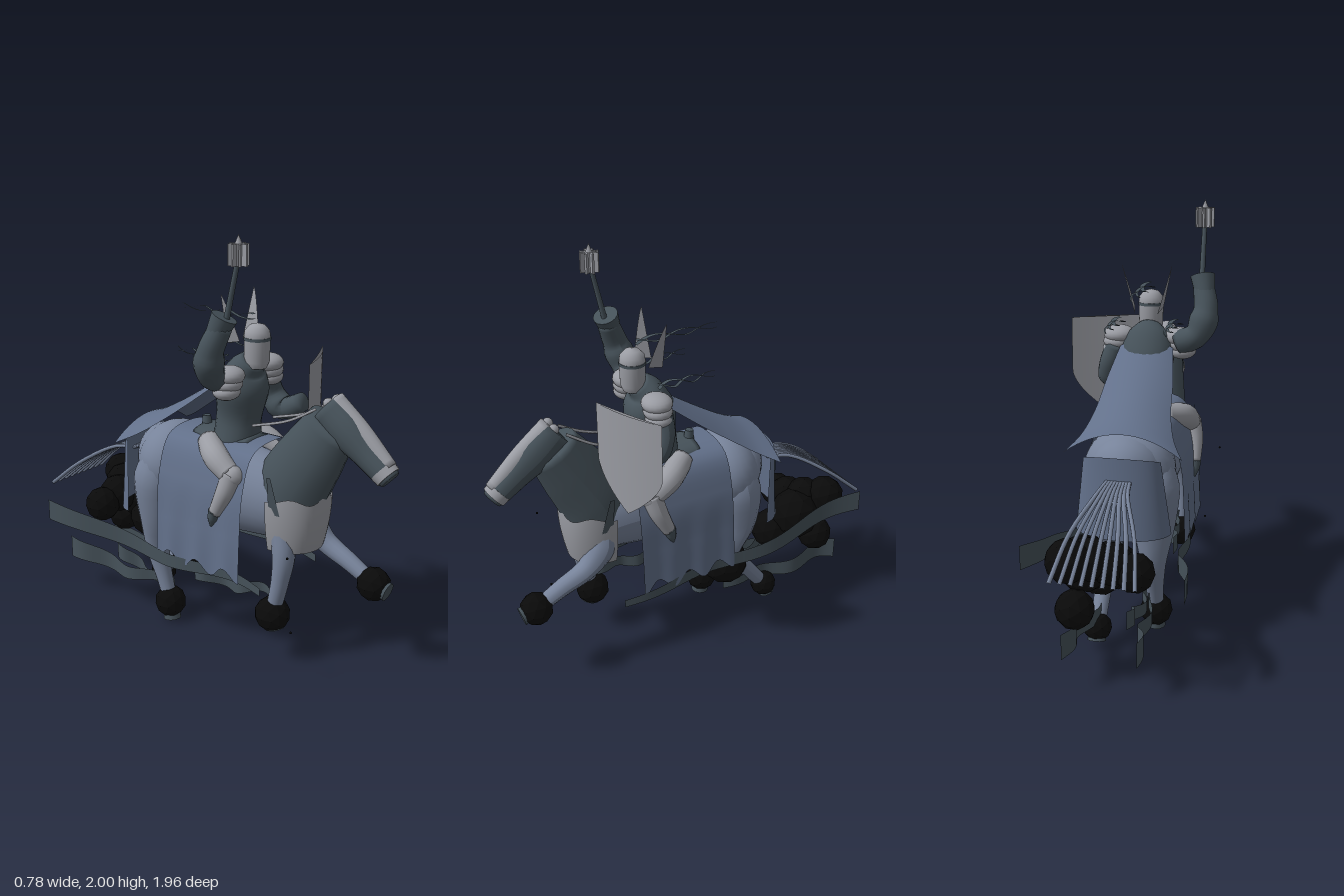
import * as THREE from 'three';
import { ParametricGeometry } from 'three/addons/geometries/ParametricGeometry.js';

const CX = -0.035; // centre line of horse and rider
const V = (x, y, z) => new THREE.Vector3(x, y, z);
const mat = (color, opts = {}) => new THREE.MeshStandardMaterial({ color, ...opts });
const two = { side: THREE.DoubleSide };
const dark = mat(0x46525a), steel = mat(0x9a9ca3), hide = mat(0x77839a), black = mat(0x0a0a0a, { flatShading: true });
const cloth = mat(0x62708a, two), darkCloth = mat(0x46525a, two), steelSheet = mat(0x9a9ca3, two);

export function createModel() {
  const model = new THREE.Group();
  const add = (name, geo, material, x = 0, y = 0, z = 0) => {
    const m = new THREE.Mesh(geo, material);
    m.name = name;
    m.position.set(x, y, z);
    model.add(m);
    return m;
  };

  // Closed elliptical tube through stations [x, y, z, halfWidth, halfHeight]
  const loft = (name, stations, material, rings = 16, sides = 16) => {
    const path = new THREE.CatmullRomCurve3(stations.map(s => V(s[0], s[1], s[2])));
    const size = new THREE.CatmullRomCurve3(stations.map(s => V(s[3], s[4] ?? s[3], 0)));
    const pos = [], idx = [];
    for (let i = -1; i <= rings + 1; i++) {
      const t = Math.min(Math.max(i / rings, 0), 1);
      const c = path.getPoint(t), T = path.getTangent(t), r = size.getPoint(t);
      const S = V(1, 0, 0).addScaledVector(T, -T.x).normalize(), U = T.clone().cross(S);
      const k = i < 0 || i > rings ? 0 : 1;
      for (let j = 0; j <= sides; j++) {
        const a = j / sides * Math.PI * 2;
        const p = c.clone().addScaledVector(S, Math.cos(a) * r.x * k).addScaledVector(U, Math.sin(a) * r.y * k);
        pos.push(p.x, p.y, p.z);
      }
    }
    const n = sides + 1;
    for (let i = 0; i < rings + 2; i++) for (let j = 0; j < sides; j++) {
      const a = i * n + j, d = a + n;
      idx.push(a, a + 1, d + 1, a, d + 1, d);
    }
    const g = new THREE.BufferGeometry();
    g.setAttribute('position', new THREE.Float32BufferAttribute(pos, 3));
    g.setIndex(idx);
    g.computeVertexNormals();
    return add(name, g, material);
  };
  const sheet = (name, f, nu, nv, material) =>
    add(name, new ParametricGeometry((u, v, p) => p.set(...f(u, v)), nu, nv), material);
  const ball = (name, x, y, z, r, m = black) => add(name, new THREE.IcosahedronGeometry(r, 1), m, x, y, z);
  const rod = (name, a, b, r0, r1, m, sides = 12) => {
    const d = b.clone().sub(a), c = a.clone().add(b).multiplyScalar(0.5);
    const o = add(name, new THREE.CylinderGeometry(r1, r0, d.length(), sides), m, c.x, c.y, c.z);
    o.quaternion.setFromUnitVectors(V(0, 1, 0), d.normalize());
  };

  // Horse body, rump, neck and head
  loft('horseBody', [[CX, .71, .58, .07, .08], [CX, .72, .52, .12, .14], [CX, .76, .38, .155, .19], [CX, .78, .1, .19, .22],
    [CX, .8, -.2, .2, .21], [CX, .81, -.35, .17, .18], [CX, .8, -.43, .08, .1]], hide, 28, 24);
  add('rump', new THREE.SphereGeometry(1, 28, 20), hide, CX, .82, -.24).scale.set(.215, .2, .18);
  loft('horseNeck', [[CX, .78, .43, .145, .18], [CX, .88, .47, .14, .175], [CX, 1.03, .56, .115, .155], [CX, 1.18, .655, .085, .125]], dark);
  loft('horseHead', [[CX, 1.26, .63, .07, .085], [CX, 1.18, .72, .075, .09], [CX, 1.09, .83, .062, .07], [CX, 1.02, .92, .057, .06],
    [CX, .995, .95, .045, .047]], dark);
  loft('headPlate', [[CX, 1.29, .655, .05, .05], [CX, 1.18, .79, .045, .05], [CX, 1.045, .94, .035, .04]], steel);
  rod('muzzleBand', V(CX, 1.03, .91), V(CX, 1.005, .94), .061, .058, steel, 20);
  for (const s of [-1, 1]) {
    ball('browBoss', CX + s * .035, 1.285, .65, .026, steel);
    add('rein', new THREE.TubeGeometry(new THREE.CatmullRomCurve3(
      [V(CX + s * .05, 1.255, .6), V(CX + s * .07, 1.18, .47), V(CX + s * .08, 1.12, .28)]), 12, .007, 6), steel);
  }

  // Chest plate and its pointed side fins
  sheet('chestPlate', (u, v) => {
    const a = (u - .5) * Math.PI, k = 1 - .16 * (1 - v) ** 2;
    return [CX + .175 * k * Math.sin(a), .57 + .26 * v + .015 * Math.cos(a * 6) * v, .42 + .215 * k * Math.cos(a) ** .8];
  }, 28, 8, steelSheet);
  for (const s of [-1, 1])
    sheet('chestFin', (u, v) => [CX + s * (.17 + .02 * v), .76 + .18 * v, .5 - .06 * u - .04 * v * (1 - u)], 2, 4, darkCloth);

  // Draped horse cloth with a scalloped hem, and a curved skirt behind
  const half = [[.255, .43], [.245, .62], [.22, .84], [.15, 1.0], [0, 1.035]];
  const drape = new THREE.CatmullRomCurve3([...half.map(p => V(-p[0], p[1], 0)), ...half.slice(0, -1).reverse().map(p => V(p[0], p[1], 0))]);
  sheet('horseCloth', (u, v) => {
    const p = drape.getPoint(v), hem = Math.max(0, (.8 - p.y) / .37);
    return [CX + p.x + .006 * hem * Math.cos(u * 19), p.y - .03 * hem ** 3 * Math.cos(u * 19), .33 - .5 * u];
  }, 32, 40, cloth);
  sheet('rearSkirt', (u, v) => {
    const a = (u - .5) * Math.PI, k = 1.08 - .22 * v;
    return [CX + .205 * k * Math.sin(a), .57 + .35 * v + .03 * v * Math.cos(a), -.38 - .035 * v - .125 * k * Math.cos(a) * (1 - .3 * v)];
  }, 24, 6, cloth);

  // Legs with feathered fetlocks and hooves
  const leg = (name, x, pts, r, tip) => {
    loft(name, pts.map(p => [p[3] ?? x, p[0], p[1], p[2]]), hide, 18, 14);
    const end = pts[pts.length - 1];
    ball(name + 'Fetlock', x, end[0], end[1], r);
    rod(name + 'Hoof', V(x, end[0], end[1]), V(x, ...tip), .035, .045, dark);
  };
  leg('leftFrontLeg', .085, [[.76, .46, .065, .055], [.66, .48, .07, .075], [.56, .56, .052], [.49, .7, .042], [.42, .83, .035]], .08, [.4, .905]);
  leg('rightFrontLeg', -.16, [[.74, .44, .065, -.12], [.56, .49, .055, -.15], [.42, .48, .043], [.24, .44, .035]], .085, [.17, .46]);
  const thigh = [[.9, -.25, .07], [.74, -.27, .12], [.56, -.27, .1]];
  leg('leftHindLeg', .075, [...thigh, [.38, -.23, .06], [.25, -.33, .042], [.1, -.45, .035]], .068, [.04, -.47]);
  leg('rightHindLeg', -.155, [...thigh, [.37, -.28, .06], [.22, -.24, .042], [.09, -.2, .035]], .08, [0, -.19]);

  // Clouds of kicked-up dust
  for (const [x, y, z, r] of [[.05, .31, -.22, .12], [.04, .41, -.51, .105], [.1, .34, -.75, .09], [.12, .58, -.78, .1],
    [.09, .5, -.62, .13], [-.15, .5, -.67, .09], [-.04, .53, -.66, .1], [.05, .56, -.7, .1]]) ball('dustPuff', x, y, z, r);
  for (const p of [[-.34, .65, .64], [-.27, .25, .62]]) ball('dustSpeck', ...p, .006);

  // Fanned tail
  for (let i = 0; i < 9; i++) {
    const s = (i - 4) / 4;
    add('tailStrand', new THREE.TubeGeometry(new THREE.CatmullRomCurve3([V(CX + s * .05, .84, -.48), V(CX + s * .07, .82, -.61),
      V(CX + s * .14, .71, -.8), V(CX + s * .18, .565, -.975)]), 14, .01, 6), hide);
  }

  // Trailing ribbons: start, end, height at start and end
  for (const [a, b, h0, h1] of [[[.21, .38, .43], [.3, .61, -.87], .04, .11], [[-.25, .38, .43], [-.39, .5, -.82], .04, .11],
    [[-.16, .33, .43], [-.2, .33, 0], .04, .09], [[.075, .17, -.2], [.13, .21, -.87], .04, .12],
    [[-.155, .17, -.2], [-.2, .21, -.87], .04, .12], [[-.12, .17, -.2], [-.1, .23, -.62], .04, .09]])
    sheet('ribbon', (u, v) => [a[0] + (b[0] - a[0]) * u ** 2 + .022 * Math.sin(u * 12.56),
      a[1] + (b[1] - a[1]) * u ** 1.5 + .015 * Math.sin(u * 9) + (v - .5) * (h0 + (h1 - h0) * u), a[2] + (b[2] - a[2]) * u], 32, 2, darkCloth);

  // Saddle
  rod('saddlePommel', V(CX, 1.0, -.05), V(CX, 1.085, -.055), .03, .02, dark);
  loft('saddle', [[CX, 1.02, .25, .08, .03], [CX, 1.02, .1, .12, .03], [CX, 1.02, -.06, .1, .03]], dark);

  // Rider torso, legs and shield arm
  loft('torso', [[CX, 1.0, .13, .12, .11], [CX, 1.12, .14, .1, .11], [CX, 1.26, .16, .13, .12], [CX, 1.35, .18, .11, .085], [CX, 1.4, .22, .055, .055]], dark, 20, 20);
  for (const s of [-1, 1]) {
    loft('thigh', [[CX + s * .1, 1.0, .04, .055], [CX + s * .185, .97, .15, .06], [CX + s * .205, .91, .25, .05]], steel);
    loft('shin', [[CX + s * .205, .92, .26, .05], [CX + s * .225, .83, .235, .045], [CX + s * .235, .72, .185, .032]], steel);
    ball('kneeGuard', CX + s * .205, .91, .265, .05, steel);
    loft('foot', [[CX + s * .24, .73, .185, .03], [CX + s * .24, .69, .175, .024], [CX + s * .24, .65, .165, .006]], dark);
    // Layered shoulder guard
    for (let k = 0; k < 3; k++) {
      const g = add('shoulderGuard', new THREE.SphereGeometry(.078 - k * .005, 20, 12), steel, CX + s * (.148 + k * .008), 1.355 - k * .035, .195);
      g.scale.set(1, .58, .92);
    }
  }
  loft('shieldArm', [[.12, 1.31, .18, .055], [.16, 1.2, .19, .055], [.165, 1.13, .25, .055], [.17, 1.18, .36, .045]], dark);

  // Raised arm with gauntlet
  loft('raisedArm', [[-.18, 1.33, .17, .06], [-.27, 1.37, .165, .06], [-.31, 1.48, .19, .06], [-.29, 1.61, .24, .05]], dark, 20);
  rod('gauntlet', V(-.305, 1.55, .21), V(-.285, 1.645, .25), .045, .06, dark, 16);

  // Flanged mace
  rod('maceHandle', V(-.28, 1.6, .25), V(-.28, 1.9, .318), .014, .011, dark);
  rod('maceCore', V(-.28, 1.87, .32), V(-.28, 1.96, .32), .022, .022, steel);
  for (let i = 0; i < 4; i++)
    add('maceFlange', new THREE.BoxGeometry(.09, .092, .01), steel, -.28, 1.915, .32).rotation.y = i * Math.PI / 4;
  add('maceSpike', new THREE.ConeGeometry(.018, .045, 10), steel, -.28, 1.9775, .32);

  // Helmet with eye slit and swept wings
  const helm = [[.045, 1.37], [.058, 1.4], [.061, 1.51], [.057, 1.54], [.035, 1.565], [0, 1.575]];
  add('helmet', new THREE.LatheGeometry(helm.map(p => new THREE.Vector2(...p)), 24), steelSheet, CX, 0, .24);
  add('visorBand', new THREE.CylinderGeometry(.063, .063, .014, 24), dark, CX, 1.505, .24);
  for (const s of [-1, 1])
    sheet('helmetWing', (u, v) => [CX + s * (.055 + .067 * u + .015 * v * (1 - u)), 1.475 + .235 * u + .02 * v * (1 - u),
      .115 + .012 * u + .08 * v * (1 - u) ** .8], 16, 4, steelSheet);

  // Twisted plumes streaming back from helmet and shoulders
  for (const [x, y, z0, z1] of [[CX, 1.6, .22, -.2], [CX - .14, 1.43, .18, -.11], [CX + .14, 1.43, .18, -.11]])
    for (const s of [-1, 1])
      sheet('plume', (u, v) => [x + s * .028 * Math.sin(u * 9.4) * (1 - .4 * u) + (v - .5) * .022 * (1.2 - u),
        y + s * .012 * Math.cos(u * 9.4), z0 + (z1 - z0) * u], 28, 1, darkCloth);

  // Cape flying behind the rider
  const spine = new THREE.CatmullRomCurve3([V(.13, 1.35, .13), V(.16, 1.24, -.03), V(.18, 1.14, -.19), V(.215, 1.075, -.31), V(.27, 1.035, -.415)]);
  sheet('cape', (u, v) => {
    const p = spine.getPoint(u), w = v * 2 - 1;
    return [CX + w * p.x, p.y - w * w * (.04 + .06 * u), p.z];
  }, 20, 16, cloth);

  // Heater shield with front and back faces, angled to the rider's left
  for (const bow of [.02, .006])
    sheet('shield', (u, v) => {
      const w = u < .55 ? 1 : Math.max(0, 1 - ((u - .55) / .45) ** 1.6), s = (v * 2 - 1) * w;
      return [.184 * s, .25 - .5 * u, bow * (1 - s * s)];
    }, 28, 16, steelSheet).position.set(.222, 1.15, .39);
  model.children.filter(m => m.name === 'shield').forEach(m => { m.rotation.y = .42; });
  return model;
}
